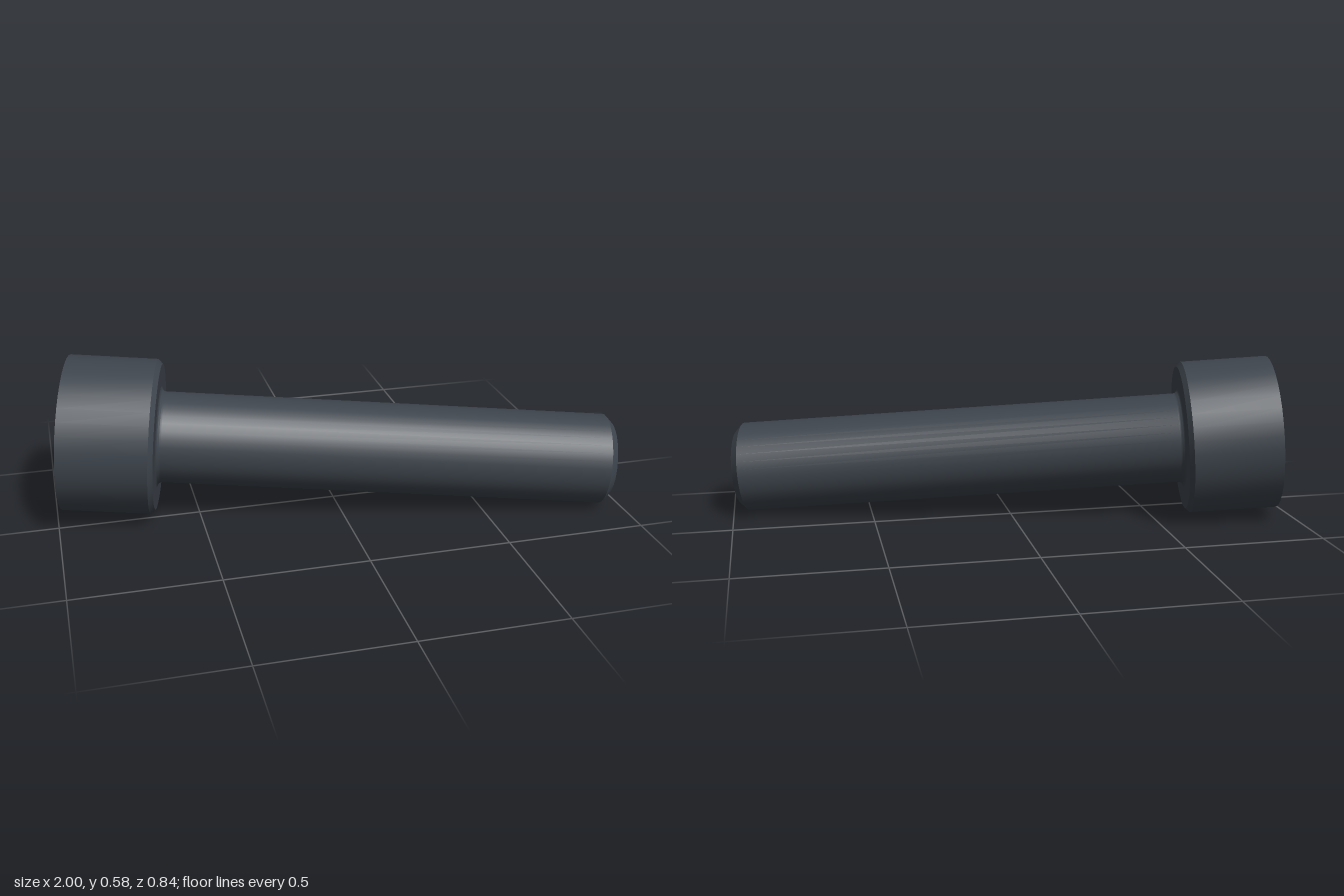
import * as THREE from 'three';
import { toCreasedNormals } from 'three/addons/utils/BufferGeometryUtils.js';

const SEGMENTS = 36;
const HEAD_R = 0.277, HEAD_L = 0.326, SHANK_R = 0.163, LENGTH = 1.956;
const RIM_R = 0.16, HEX_APOTHEM = 0.1304, SOCKET_DEPTH = 0.163;

// Turned part from [radius, distance along the axis] pairs
function turned(points) {
  const profile = points.map(([r, y]) => new THREE.Vector2(r, y));
  return toCreasedNormals(new THREE.LatheGeometry(profile, SEGMENTS), 0.5);
}

// Hexagonal recess: round countersink, six walls and a flat floor
function socketGeometry() {
  const hexRadius = (i) => {
    const t = ((i % 6) + 3) % 6 - 3;
    return HEX_APOTHEM / Math.cos(t * Math.PI / 18);
  };
  const rings = [
    () => [RIM_R, 0],
    (i) => [hexRadius(i), (RIM_R - hexRadius(i)) * 0.6],
    (i) => [hexRadius(i), SOCKET_DEPTH],
    () => [0, SOCKET_DEPTH],
  ];
  const positions = [];
  const point = (ring, i) => {
    const [r, y] = rings[ring](i % SEGMENTS);
    const a = i / SEGMENTS * Math.PI * 2;
    return [r * Math.cos(a), y, r * Math.sin(a)];
  };
  for (let k = 0; k < rings.length - 1; k++) {
    for (let i = 0; i < SEGMENTS; i++) {
      const a = point(k, i), b = point(k, i + 1);
      const c = point(k + 1, i + 1), d = point(k + 1, i);
      positions.push(...a, ...b, ...d);
      if (k < rings.length - 2) positions.push(...b, ...c, ...d);
    }
  }
  const geometry = new THREE.BufferGeometry();
  geometry.setAttribute('position', new THREE.Float32BufferAttribute(positions, 3));
  geometry.computeVertexNormals();
  return geometry;
}

export function createModel() {
  const model = new THREE.Group();
  model.name = 'socketHeadBolt';
  const steel = new THREE.MeshStandardMaterial({ color: 0x3d444c });
  steel.name = 'darkSteel';
  const add = (name, geometry) => {
    const mesh = new THREE.Mesh(geometry, steel);
    mesh.name = name;
    bolt.add(mesh);
  };

  // Bolt built along local y, from the head face to the tip
  const bolt = new THREE.Group();
  bolt.name = 'bolt';
  model.add(bolt);

  // Head with a chamfered underside
  add('head', turned([
    [RIM_R, 0], [HEAD_R, 0], [HEAD_R, HEAD_L - 0.016],
    [HEAD_R - 0.016, HEAD_L], [SHANK_R, HEAD_L],
  ]));
  add('hexSocket', socketGeometry());

  // Shank with a fillet under the head and a chamfered tip
  const fillet = 0.018, chamfer = 0.026, profile = [];
  for (let i = 0; i <= 4; i++) {
    const a = i / 4 * Math.PI / 2;
    profile.push([SHANK_R + fillet * (1 - Math.sin(a)), HEAD_L + fillet * (1 - Math.cos(a))]);
  }
  profile.push([SHANK_R, LENGTH - chamfer], [SHANK_R - chamfer, LENGTH], [0, LENGTH]);
  add('shank', turned(profile));

  // Lay the bolt down so it rests on the head rim and the tip
  const headFace = new THREE.Vector3(-0.938, 0.301, -0.148);
  const axis = new THREE.Vector3(0.969, 0.16, 0.264).sub(headFace).normalize();
  const side = new THREE.Vector3(-axis.z, 0, axis.x).normalize();
  const up = new THREE.Vector3().crossVectors(side, axis);
  bolt.quaternion.setFromRotationMatrix(new THREE.Matrix4().makeBasis(side, axis, up));
  bolt.position.copy(headFace);
  return model;
}
